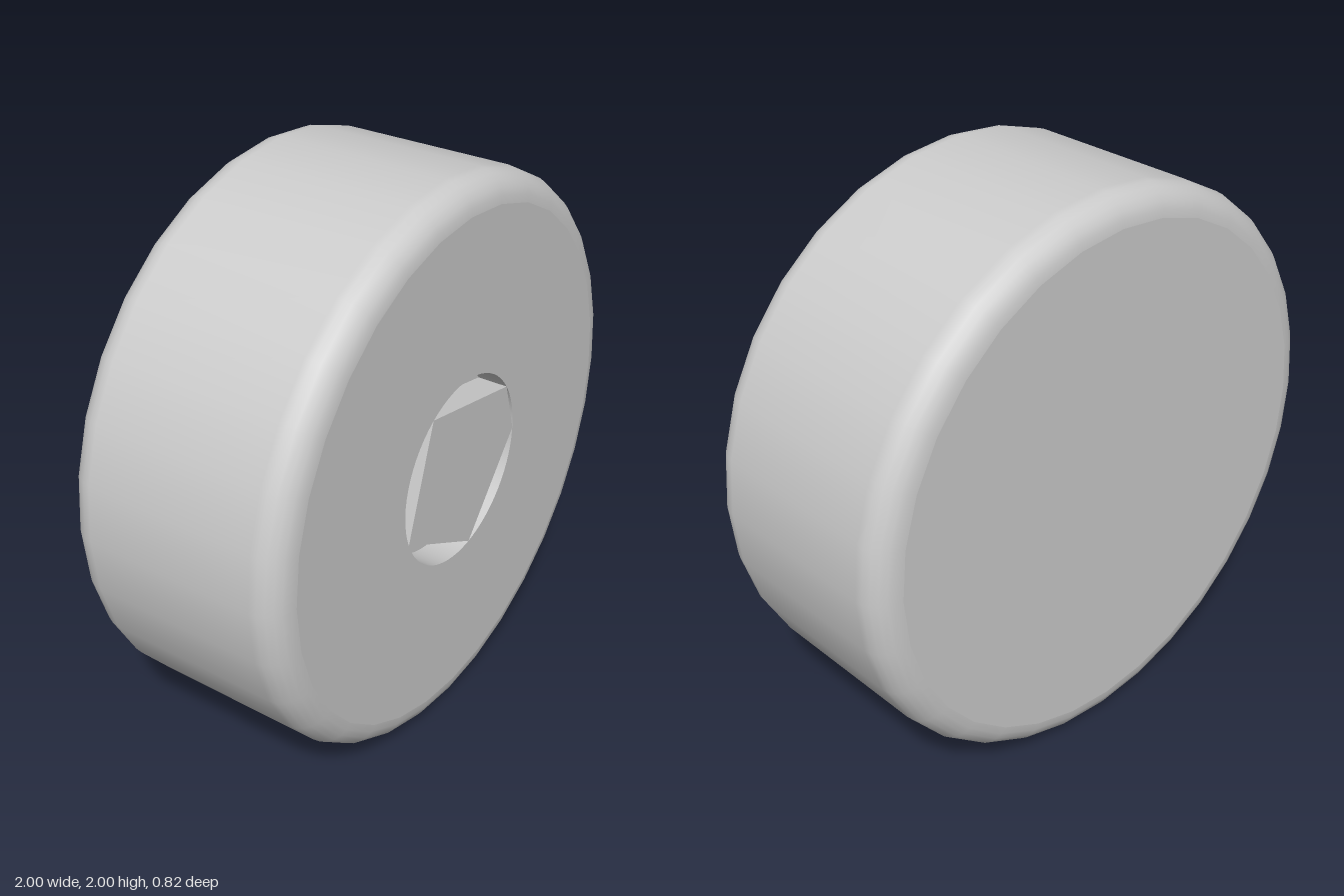
import * as THREE from 'three';

const RADIUS = 1, HALF = 0.41, FILLET = 0.1, SIDES = 32;
const HOLE = 0.335, DEPTH = 0.11, HOLE_SIDES = 64;

// Regular polygon points around the axis
const ring = (r, n) => Array.from({ length: n }, (_, i) => {
  const a = (i / n) * Math.PI * 2;
  return new THREE.Vector2(r * Math.cos(a), r * Math.sin(a));
});

export function createModel() {
  const group = new THREE.Group();
  group.name = 'disc';
  const material = new THREE.MeshStandardMaterial({ color: 0xcccccc });
  const inside = new THREE.MeshStandardMaterial({ color: 0xcccccc, side: THREE.BackSide });
  const add = (name, geometry, z = 0, mat = material) => {
    const mesh = new THREE.Mesh(geometry, mat);
    mesh.name = name;
    mesh.position.set(0, RADIUS, z);
    group.add(mesh);
    return mesh;
  };

  // Rounded rim, from the back edge to the front edge
  const profile = [];
  for (const side of [-1, 1]) {
    for (let i = 0; i <= 6; i++) {
      const a = ((side < 0 ? i - 6 : i) / 6) * Math.PI / 2;
      profile.push(new THREE.Vector2(
        RADIUS - FILLET + FILLET * Math.cos(a),
        side * (HALF - FILLET) + FILLET * Math.sin(a)));
    }
  }
  add('rim', new THREE.LatheGeometry(profile, SIDES).rotateX(Math.PI / 2));

  // Flat faces, the front one with a round opening
  const front = new THREE.Shape(ring(RADIUS - FILLET, SIDES));
  front.holes.push(new THREE.Path(ring(HOLE, HOLE_SIDES).reverse()));
  add('frontFace', new THREE.ShapeGeometry(front), HALF);
  add('backFace', new THREE.CircleGeometry(RADIUS - FILLET, SIDES).rotateY(Math.PI), -HALF);

  // Shallow round recess
  add('recessWall',
    new THREE.CylinderGeometry(HOLE, HOLE, DEPTH, HOLE_SIDES, 1, true).rotateX(Math.PI / 2),
    HALF - DEPTH / 2, inside);
  add('recessFloor', new THREE.CircleGeometry(HOLE, HOLE_SIDES), HALF - DEPTH);

  // Irregular five-sided plug, flush with the front face
  const corners = [0, 34.5, 123, 202, 282].map((deg) => {
    const a = THREE.MathUtils.degToRad(deg);
    return new THREE.Vector2(HOLE * Math.cos(a), HOLE * Math.sin(a));
  });
  add('plug', new THREE.ExtrudeGeometry(new THREE.Shape(corners),
    { depth: DEPTH, bevelEnabled: false }), HALF - DEPTH);

  return group;
}
